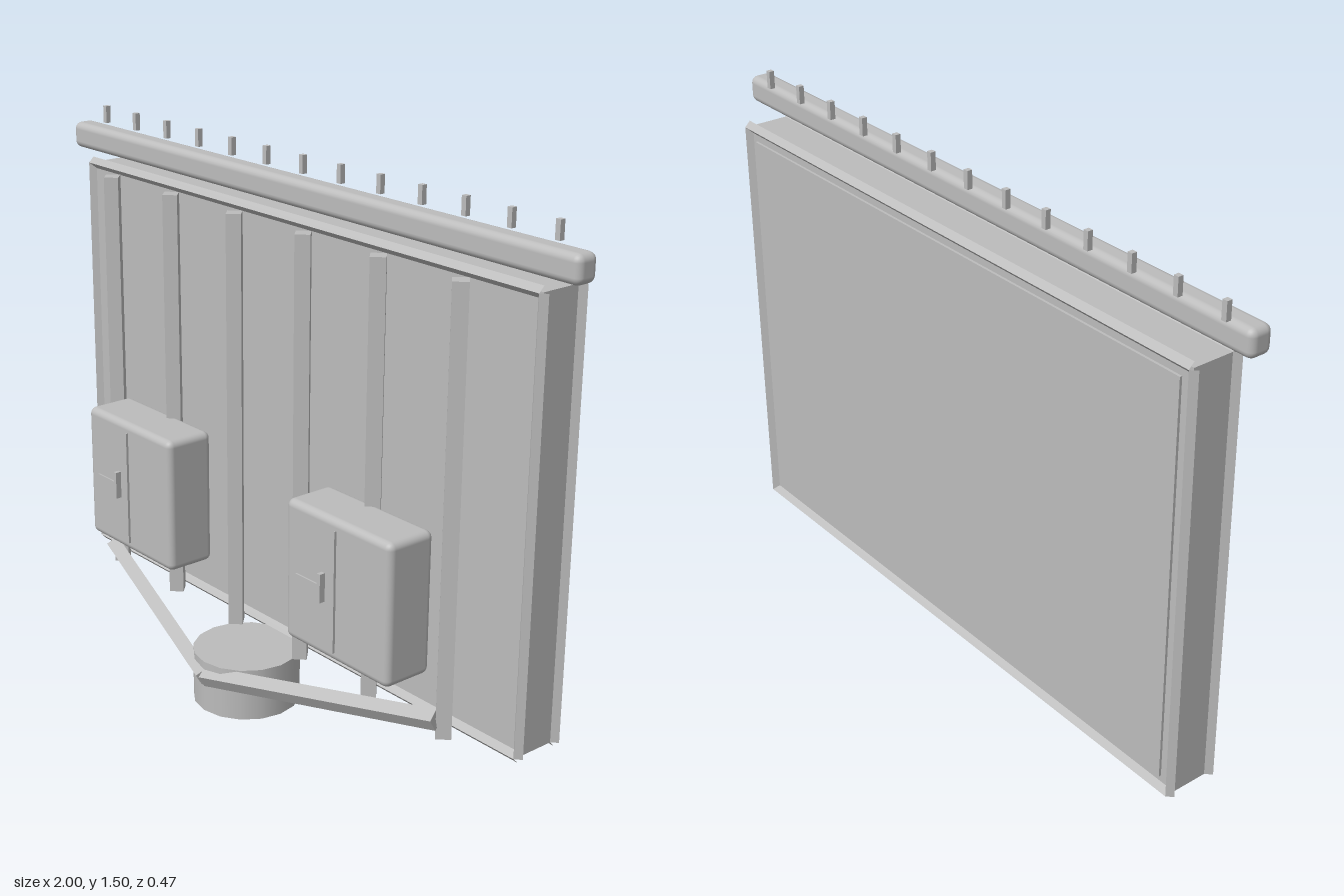
import * as THREE from 'three';
import { RoundedBoxGeometry } from 'three/addons/geometries/RoundedBoxGeometry.js';

export function createModel() {
  const model = new THREE.Group();
  model.name = 'billboard';
  const grey = new THREE.MeshStandardMaterial({ color: 0xbcbcbc });
  grey.name = 'plain grey';

  function add(name, geometry, x = 0, y = 0, z = 0, parent = model) {
    const mesh = new THREE.Mesh(geometry, grey);
    mesh.name = name;
    mesh.position.set(x, y, z);
    parent.add(mesh);
    return mesh;
  }

  // Four-sided rod between two points, with crisp edges
  function rod(name, from, to, radius, open = false) {
    const a = new THREE.Vector3(...from);
    const b = new THREE.Vector3(...to);
    const dir = b.clone().sub(a);
    const geometry = new THREE.CylinderGeometry(radius, radius, dir.length(), 4, 1, open).toNonIndexed();
    geometry.computeVertexNormals();
    const mid = a.add(b).multiplyScalar(0.5);
    const mesh = add(name, geometry, mid.x, mid.y, mid.z);
    mesh.quaternion.setFromUnitVectors(new THREE.Vector3(0, 1, 0), dir.normalize());
  }

  // Display body and the slightly raised screen on its back
  add('displayBody', new THREE.BoxGeometry(1.8, 1.2, 0.132), 0, 0.75, -0.151);
  add('screen', new THREE.BoxGeometry(1.73, 1.13, 0.008), 0, 0.75, -0.22);

  // Edge trim around both faces
  for (const z of [-0.085, -0.217]) {
    for (const y of [0.15, 1.35]) rod('horizontalTrim', [-0.9, y, z], [0.9, y, z], 0.016, true);
    for (const x of [-0.9, 0.9]) rod('verticalTrim', [x, 0.15, z], [x, 1.35, z], 0.016, true);
  }

  // Support posts
  for (let i = 0; i < 6; i++) {
    const x = -0.705 + i * 0.282;
    rod('supportPost', [x, 0.15, -0.016], [x, 1.35, -0.016], 0.029);
  }

  // Round foot and the two arms that reach the outer posts
  add('base', new THREE.CylinderGeometry(0.15, 0.15, 0.15, 16), 0, 0.075, 0.06);
  for (const side of [-1, 1]) {
    rod('braceArm', [0, 0.105, 0.207], [side * 0.705, 0.205, 0.012], 0.028);
  }

  // Equipment cabinets with door seam, latch line and handle
  for (const x of [-0.452, 0.448]) {
    const cabinet = new THREE.Group();
    cabinet.name = 'cabinet';
    cabinet.position.set(x, 0.5, 0);
    model.add(cabinet);
    add('cabinetBody', new RoundedBoxGeometry(0.395, 0.395, 0.15, 3, 0.02), 0, 0, 0.055, cabinet);
    add('doorSeam', new THREE.BoxGeometry(0.003, 0.34, 0.008), 0, 0, 0.133, cabinet);
    add('latchLine', new THREE.BoxGeometry(0.1, 0.003, 0.006), -0.1, 0, 0.132, cabinet);
    add('handle', new THREE.BoxGeometry(0.012, 0.08, 0.018), -0.046, 0, 0.138, cabinet);
  }

  // Rounded top bar with a row of pegs
  add('topBar', new RoundedBoxGeometry(2, 0.075, 0.067, 3, 0.02), 0, 1.418, -0.117);
  for (let i = 0; i < 13; i++) {
    add('peg', new THREE.BoxGeometry(0.015, 0.05, 0.015), -0.925 + i * 0.15, 1.48, -0.155);
  }

  return model;
}
